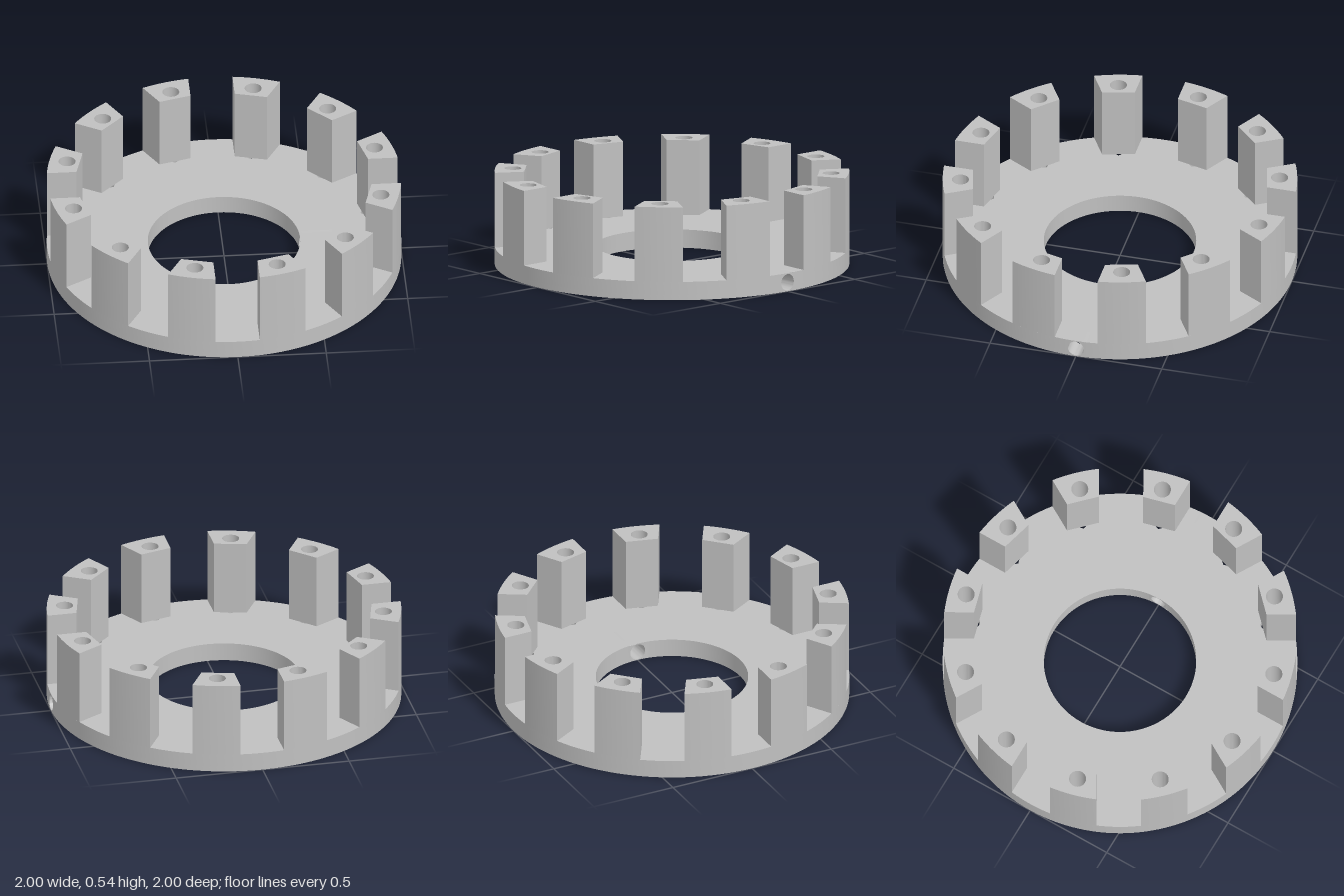
import * as THREE from 'three';
import { toCreasedNormals } from 'three/addons/utils/BufferGeometryUtils.js';

const OUTER = 1, BORE = 0.43, BOSS = 0.617, GROOVE = 0.885; // plan radii
const FLOOR = 0.03, DECK = 0.105, TOP = 0.535;              // heights
const SLOT = 0.125, POST_INNER = 0.834;                     // gaps between posts
const BOLT_R = 0.9, BOLT = 0.048, NUT = 0.083;              // bolt holes and nut traps
const HOLE_Y = 0.0525, HOLE_R = 0.047, W = 0.06;            // side hole and its block
const POSTS = 12, STEP = Math.PI / 90;

const polar = (r, a) => new THREE.Vector2(r * Math.cos(a), r * Math.sin(a));
const postAngle = (i) => ((i + 0.5) * Math.PI * 2) / POSTS;

function arc(r, a0, a1) {
  const n = Math.max(1, Math.ceil(Math.abs(a1 - a0) / STEP));
  return Array.from({ length: n + 1 }, (_, i) => polar(r, a0 + ((a1 - a0) * i) / n));
}

// circle left open at +x, where the block with the side hole fits
function openCircle(r) {
  const gap = Math.asin(W / r);
  return arc(r, gap, Math.PI * 2 - gap);
}

function circlePath(x, y, r, n, turn = 0) {
  const pts = [];
  for (let i = 0; i < n; i++) {
    pts.push(polar(r, turn + (i * Math.PI * 2) / n).add(new THREE.Vector2(x, y)));
  }
  return new THREE.Path(pts);
}

// plan shape raised from y0 to y1
function slab(shape, y0, y1) {
  const g = new THREE.ExtrudeGeometry(shape, { depth: y1 - y0, bevelEnabled: false });
  g.rotateX(-Math.PI / 2).translate(0, y0, 0);
  return toCreasedNormals(g, 0.4);
}

const ringShape = (r0, r1) => new THREE.Shape([...openCircle(r1), ...openCircle(r0).reverse()]);

// rim under the deck, its inside notched by the nut traps
function rimShape() {
  const half = (NUT * Math.sqrt(3)) / 2;
  const cross = Math.asin(half / GROOVE);
  const inner = [];
  let a = Math.asin(W / GROOVE);
  const end = Math.PI * 2 - a;
  for (let i = 0; i < POSTS; i++) {
    const t = postAngle(i);
    inner.push(...arc(GROOVE, a, t - cross));
    for (const [r, s] of [[BOLT_R + NUT / 2, -half], [BOLT_R + NUT, 0], [BOLT_R + NUT / 2, half]]) {
      inner.push(new THREE.Vector2(r, s).rotateAround(new THREE.Vector2(), t));
    }
    a = t + cross;
  }
  inner.push(...arc(GROOVE, a, end));
  return new THREE.Shape([...openCircle(OUTER), ...inner.reverse()]);
}

// deck with hexagonal openings below the posts
function deckShape() {
  const shape = ringShape(BORE, OUTER);
  for (let i = 0; i < POSTS; i++) {
    const c = polar(BOLT_R, postAngle(i));
    shape.holes.push(circlePath(c.x, c.y, NUT, 6, postAngle(i)));
  }
  return shape;
}

// post with straight sides parallel to the neighbouring gaps
function postShape() {
  const pitch = (Math.PI * 2) / POSTS;
  const o = Math.asin(SLOT / OUTER), n = Math.asin(SLOT / POST_INNER);
  const shape = new THREE.Shape([
    ...arc(OUTER, o, pitch - o), polar(POST_INNER, pitch - n), polar(POST_INNER, n),
  ]);
  const c = polar(BOLT_R, pitch / 2);
  shape.holes.push(circlePath(c.x, c.y, BOLT, 32));
  return shape;
}

// part of the block around the side hole, ends curved to radii r0 and r1
function holeBlock(r0, r1, overGroove) {
  const edge = (y, from, to) =>
    Array.from({ length: 7 }, (_, i) => new THREE.Vector2(from + ((to - from) * i) / 6, y));
  let shape;
  if (overGroove) {
    const low = Math.asin((FLOOR - HOLE_Y) / HOLE_R);
    const roof = arc(HOLE_R, Math.PI - low, low).map((p) => p.add(new THREE.Vector2(0, HOLE_Y)));
    shape = new THREE.Shape([
      new THREE.Vector2(-W, FLOOR), ...roof, new THREE.Vector2(W, FLOOR), ...edge(DECK, W, -W),
    ]);
  } else {
    shape = new THREE.Shape([...edge(0, -W, W), ...edge(DECK, W, -W)]);
    shape.holes.push(circlePath(0, HOLE_Y, HOLE_R, 40));
  }
  const g = new THREE.ExtrudeGeometry(shape, { depth: 1, bevelEnabled: false });
  g.rotateY(Math.PI / 2);
  const p = g.attributes.position;
  for (let i = 0; i < p.count; i++) {
    const r = p.getX(i) > 0.5 ? r1 : r0;
    p.setX(i, Math.sqrt(r * r - p.getZ(i) ** 2));
  }
  return toCreasedNormals(g, 0.4);
}

export function createModel() {
  const model = new THREE.Group();
  model.name = 'slottedRing';
  const grey = new THREE.MeshStandardMaterial({ color: 0xc0c0c0 });
  grey.name = 'light grey';
  const add = (name, geometry, parent = model) => {
    const mesh = new THREE.Mesh(geometry, grey);
    mesh.name = name;
    parent.add(mesh);
    return mesh;
  };

  // base ring with an annular groove underneath
  const base = new THREE.Group();
  base.name = 'base';
  model.add(base);
  add('deck', slab(deckShape(), FLOOR, DECK), base);
  add('innerBoss', slab(ringShape(BORE, BOSS), 0, FLOOR), base);
  add('outerRim', slab(rimShape(), 0, FLOOR), base);

  // radial side hole, open to the groove
  add('sideHoleInner', holeBlock(BORE, BOSS, false), base);
  add('sideHoleMiddle', holeBlock(BOSS, GROOVE, true), base);
  add('sideHoleOuter', holeBlock(GROOVE, OUTER, false), base);

  // ring of drilled posts
  const postGeometry = slab(postShape(), DECK, TOP);
  for (let i = 0; i < POSTS; i++) {
    add('post' + (i + 1), postGeometry).rotation.y = (i * Math.PI * 2) / POSTS;
  }
  return model;
}
